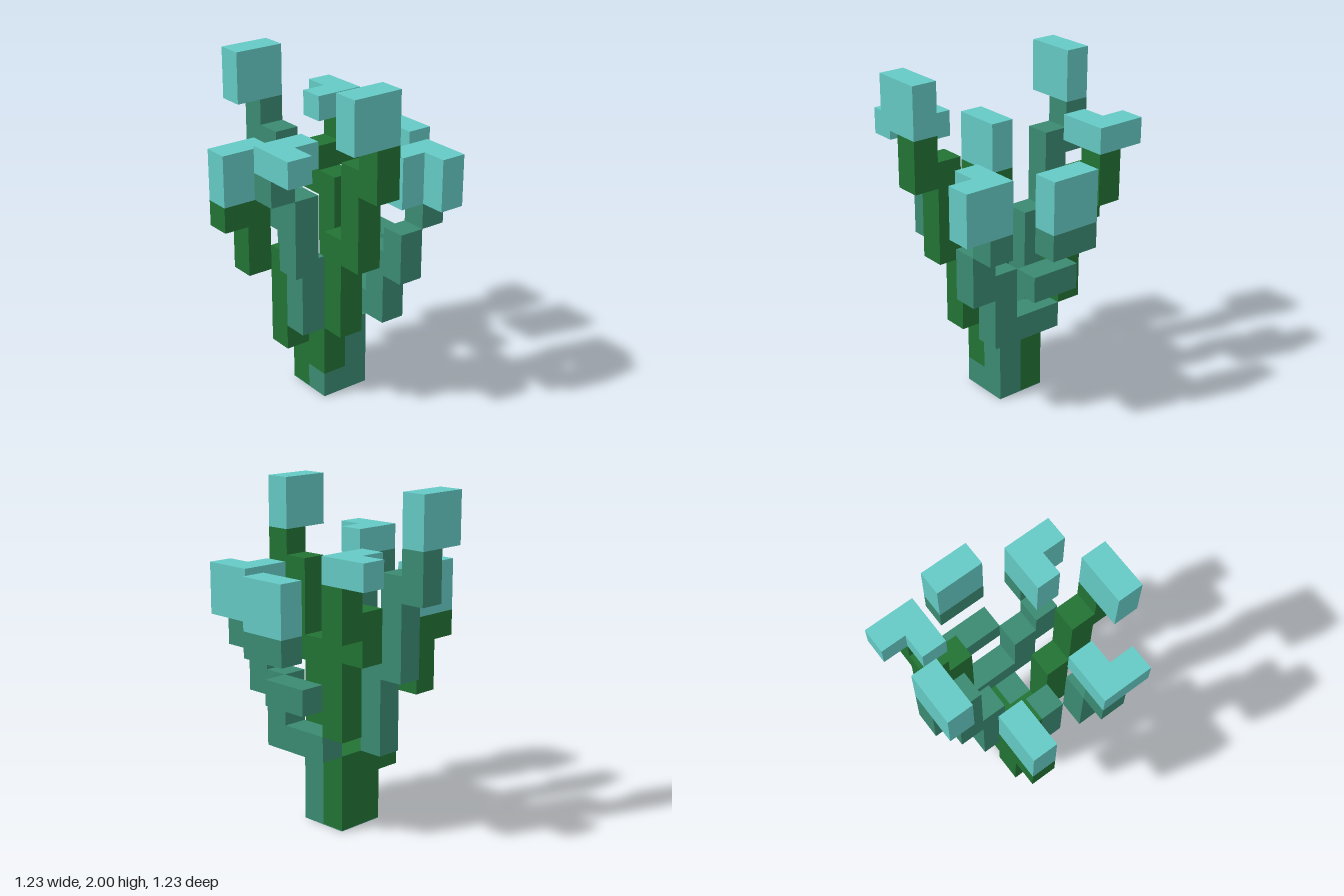
import * as THREE from 'three';

// One block of the branching plant; every part sits on this grid.
const U = 2 / 13;

export function createModel() {
  const model = new THREE.Group();
  model.name = 'blockCoral';

  const flat = (name, color) => {
    const m = new THREE.MeshStandardMaterial({ color });
    m.name = name;
    return m;
  };
  const teal = flat('deepTeal', 0x3b8a72);
  const green = flat('leafGreen', 0x227234);
  const aqua = flat('paleAqua', 0x64c9c4);

  // Box spanning [min, max] on each axis, in blocks
  const block = (parent, name, mat, [x0, x1], [y0, y1], [z0, z1]) => {
    const geo = new THREE.BoxGeometry((x1 - x0) * U, (y1 - y0) * U, (z1 - z0) * U);
    const mesh = new THREE.Mesh(geo, mat);
    mesh.name = name;
    mesh.position.set((x0 + x1) / 2 * U, (y0 + y1) / 2 * U, (z0 + z1) / 2 * U);
    parent.add(mesh);
  };
  const part = (name) => {
    const g = new THREE.Group();
    g.name = name;
    model.add(g);
    return g;
  };

  // Two-tone trunk
  const trunk = part('trunk');
  block(trunk, 'trunkBack', green, [-1, 1], [0.03, 3], [-1, 0]);
  block(trunk, 'trunkFoot', teal, [-1, 1], [0, 1], [0, 1]);
  block(trunk, 'trunkFrontLeft', teal, [0, 1], [1, 3], [0, 1]);
  block(trunk, 'trunkFrontRight', green, [-1, 0], [1, 3], [0, 1]);
  block(trunk, 'trunkSole', teal, [-1, 1], [0, 0.03], [-1, 0]);

  // Tall front and back branches, stepping outwards as they rise
  for (const [side, s, mat] of [['front', 1, green], ['back', -1, teal]]) {
    const g = part(side + 'Branch');
    const span = (a, b) => (s > 0 ? [a, b] : [-b, -a]);
    block(g, side + 'LowerStem', mat, [-1, 0], [3, 7], span(1, 2));
    block(g, side + 'MiddleStem', mat, [-1, 0], [6, 10], span(2, 3));
    block(g, side + 'UpperStem', mat, [-1, 0], [9, 11], span(3, 4));
    block(g, side + 'Tip', aqua, [-2, 0], [11, 13], span(3, 4));
  }

  // Left branch and its outer pad
  const left = part('leftBranch');
  block(left, 'leftShelf', teal, [1, 2], [3, 4], [-1, 2]);
  block(left, 'leftStep', teal, [2, 3], [5, 6], [-1, 1]);
  block(left, 'leftPadBase', teal, [3, 4], [7, 8], [-1, 1]);
  block(left, 'leftPad', aqua, [3, 4], [8, 10], [-1, 1]);

  // Front left branch with an angled tip
  const frontLeft = part('frontLeftBranch');
  block(frontLeft, 'frontLeftLowerStem', teal, [1, 2], [4, 6], [1, 2]);
  block(frontLeft, 'frontLeftUpperStem', teal, [1, 2], [5, 7], [2, 3]);
  block(frontLeft, 'frontLeftNeck', teal, [2, 3], [7, 8], [2, 3]);
  block(frontLeft, 'frontLeftTipInner', aqua, [1, 3], [8, 10], [2, 3]);
  block(frontLeft, 'frontLeftTipOuter', aqua, [2, 3], [8, 10], [3, 4]);

  // Back left branch with an angled tip
  const backLeft = part('backLeftBranch');
  block(backLeft, 'backLeftLowerStem', green, [1, 2], [4, 8], [-2, -1]);
  block(backLeft, 'backLeftMiddleStem', green, [1, 2], [7, 9], [-3, -2]);
  block(backLeft, 'backLeftUpperStem', green, [2, 3], [8, 10], [-3, -2]);
  block(backLeft, 'backLeftTipInner', aqua, [1, 3], [10, 11], [-3, -2]);
  block(backLeft, 'backLeftTipOuter', aqua, [2, 3], [10, 11], [-4, -3]);

  // Two-tone fork on the right of the trunk
  const fork = part('rightFork');
  block(fork, 'rightForkFront', teal, [-2, -1], [3, 6], [0, 1]);
  block(fork, 'rightForkBack', green, [-2, -1], [2, 6], [-1, 0]);

  // Front right branch with an angled tip
  const frontRight = part('frontRightBranch');
  block(frontRight, 'frontRightStem', teal, [-3, -2], [6, 9], [1, 2]);
  block(frontRight, 'frontRightNeck', teal, [-4, -3], [9, 10], [1, 2]);
  block(frontRight, 'frontRightTipInner', aqua, [-4, -2], [10, 11], [1, 2]);
  block(frontRight, 'frontRightTipOuter', aqua, [-4, -3], [10, 11], [2, 3]);

  // Back right branch with a wide pad
  const backRight = part('backRightBranch');
  block(backRight, 'backRightStem', green, [-3, -2], [5, 7], [-2, -1]);
  block(backRight, 'backRightPadBase', green, [-4, -2], [7, 8], [-2, -1]);
  block(backRight, 'backRightPad', aqua, [-4, -2], [8, 10], [-2, -1]);

  return model;
}
